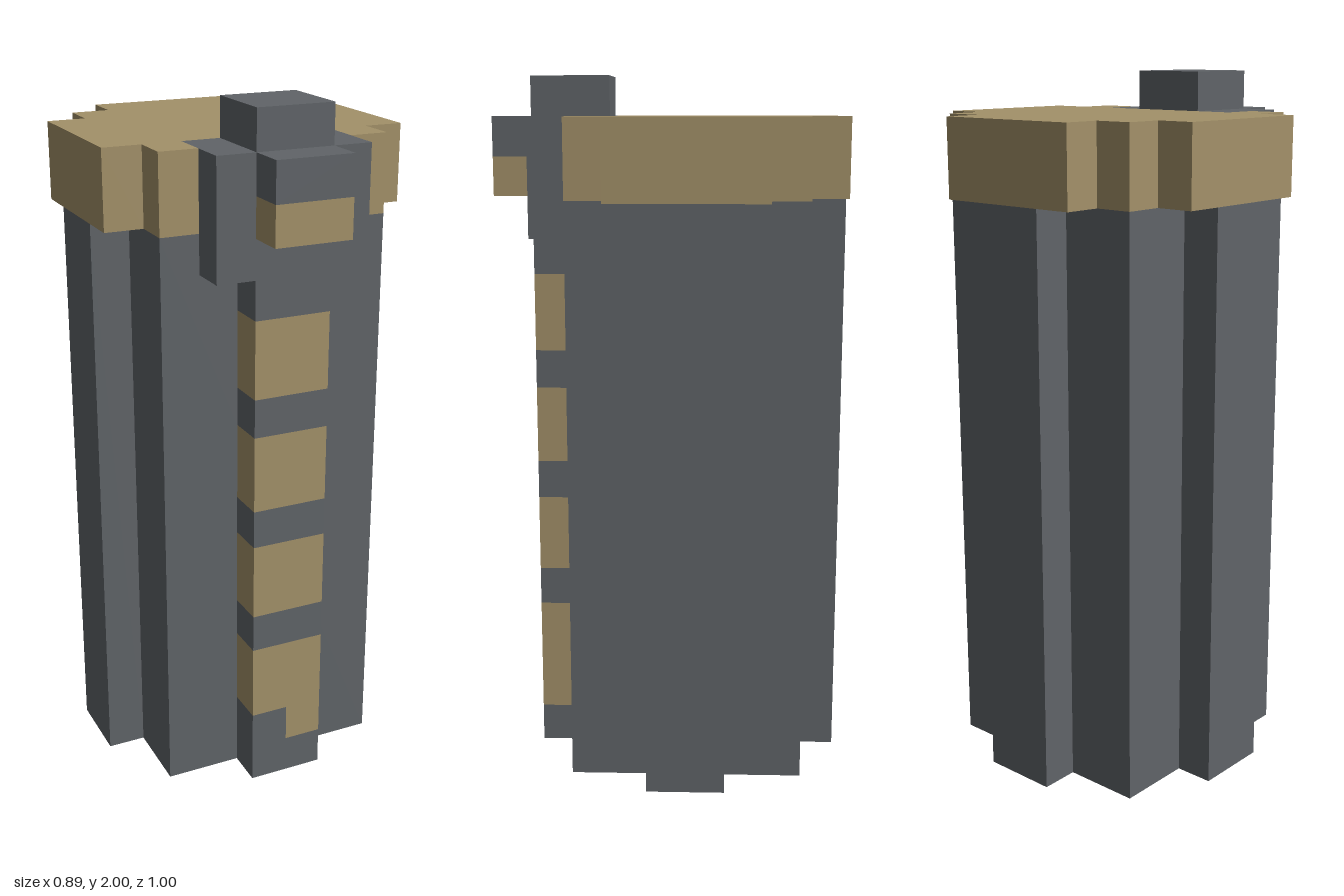
import * as THREE from 'three';

const U = 1 / 9; // one block

const grey = new THREE.MeshStandardMaterial({ color: 0x606468 });
grey.name = 'slate grey';
const tan = new THREE.MeshStandardMaterial({ color: 0xa39169 });
tan.name = 'tan';

// Box given by its limits, in blocks
function box(name, material, [x0, x1], [y0, y1], [z0, z1]) {
  const geometry = new THREE.BoxGeometry((x1 - x0) * U, (y1 - y0) * U, (z1 - z0) * U);
  const mesh = new THREE.Mesh(geometry, material);
  mesh.position.set((x0 + x1) / 2 * U, (y0 + y1) / 2 * U, (z0 + z1) / 2 * U);
  mesh.name = name;
  return mesh;
}

// Upright prism from half of a plan outline [x, z], mirrored across x = 0
function prism(name, material, half, y0, y1) {
  const outline = [...half, ...half.map(([x, z]) => [-x, z]).reverse()];
  const shape = new THREE.Shape(outline.map(([x, z]) => new THREE.Vector2(x * U, -z * U)));
  const geometry = new THREE.ExtrudeGeometry(shape, { depth: (y1 - y0) * U, bevelEnabled: false });
  geometry.rotateX(-Math.PI / 2);
  const mesh = new THREE.Mesh(geometry, material);
  mesh.position.y = y0 * U;
  mesh.name = name;
  return mesh;
}

export function createModel() {
  const model = new THREE.Group();
  model.name = 'column';

  // Stepped shaft
  model.add(prism('shaft', grey, [
    [1, -4.5], [1, -3.5], [3, -3.5], [3, -1.5], [4, -1.5],
    [4, 0.5], [3, 0.5], [3, 2.5],
  ], 0, 15));

  // Wider stepped cap, notched at the front for the head
  model.add(prism('cap', tan, [
    [2, -4.5], [2, -3.5], [3, -3.5], [3, -2.5], [4, -2.5],
    [4, 1.5], [3, 1.5], [3, 2.5], [2, 2.5], [2, 1.5],
  ], 15, 17));

  // Front rib of alternating bands
  const rib = new THREE.Group();
  rib.name = 'frontRib';
  const ribX = [-1, 1], ribZ = [2.5, 3.5];
  rib.add(box('ribFoot', grey, ribX, [0, 1], ribZ));
  rib.add(box('ribStepGrey', grey, [-1, 0], [1, 2], ribZ));
  rib.add(box('ribStepTan', tan, [0, 1], [1, 2], ribZ));
  for (let y = 2; y < 14; y += 3) {
    rib.add(box('ribTanBand', tan, ribX, [y, y + 2], ribZ));
    rib.add(box('ribGreyBand', grey, ribX, [y + 2, y + 3], ribZ));
  }
  model.add(rib);

  // Head with crest and two-coloured snout
  const head = new THREE.Group();
  head.name = 'head';
  head.add(box('skull', grey, [-2, 2], [14, 17], [1.5, 3.5]));
  head.add(box('crest', grey, [-1, 1], [17, 18], [1.5, 3.5]));
  head.add(box('upperSnout', grey, [-1, 1], [16, 17], [3.5, 4.5]));
  head.add(box('lowerSnout', tan, [-1, 1], [15, 16], [3.5, 4.5]));
  model.add(head);

  return model;
}
